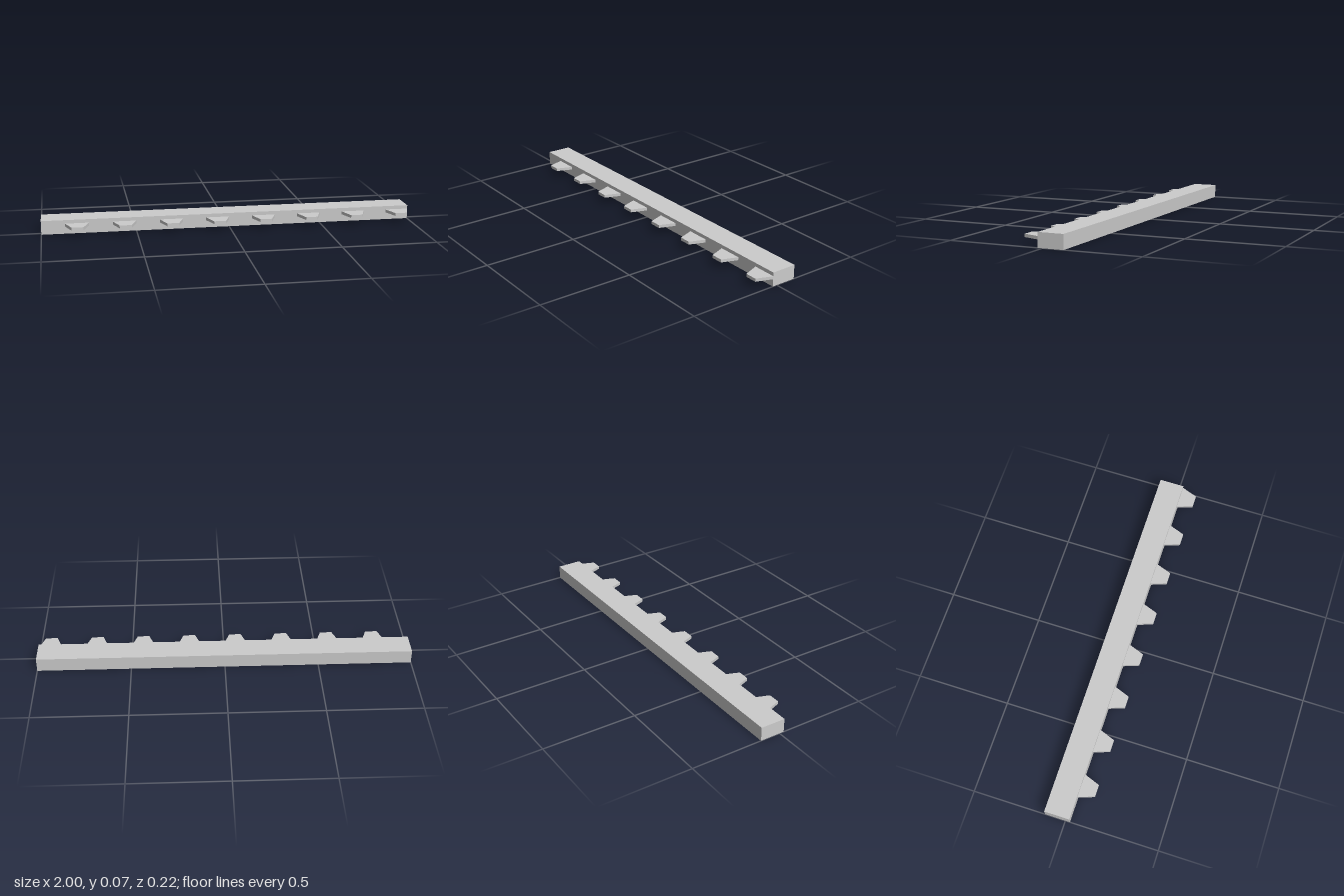
import * as THREE from 'three';

export function createModel() {
  const group = new THREE.Group();
  const material = new THREE.MeshStandardMaterial({ color: 0xcccccc, flatShading: true });

  // Long rectangular bar
  const barHeight = 0.074, barBack = -0.11, barFront = 0.025;
  const bar = new THREE.Mesh(new THREE.BoxGeometry(2, barHeight, barFront - barBack), material);
  bar.name = 'bar';
  bar.position.set(0, barHeight / 2, (barFront + barBack) / 2);
  group.add(bar);

  // Tapered tooth outline, laid flat so that it points forward
  const outline = new THREE.Shape([
    new THREE.Vector2(-0.0625, barFront),
    new THREE.Vector2(0.0625, barFront),
    new THREE.Vector2(0.0315, 0.11),
    new THREE.Vector2(-0.0315, 0.11),
  ]);
  const toothGeometry = new THREE.ExtrudeGeometry(outline, { depth: 0.016, bevelEnabled: false });
  toothGeometry.rotateX(Math.PI / 2);

  // Row of eight teeth, the last one flush with the end of the bar
  for (let i = 0; i < 8; i++) {
    const tooth = new THREE.Mesh(toothGeometry, material);
    tooth.name = `tooth${i + 1}`;
    tooth.position.set(-0.8125 + i * 0.25, 0.055, 0);
    group.add(tooth);
  }

  return group;
}
